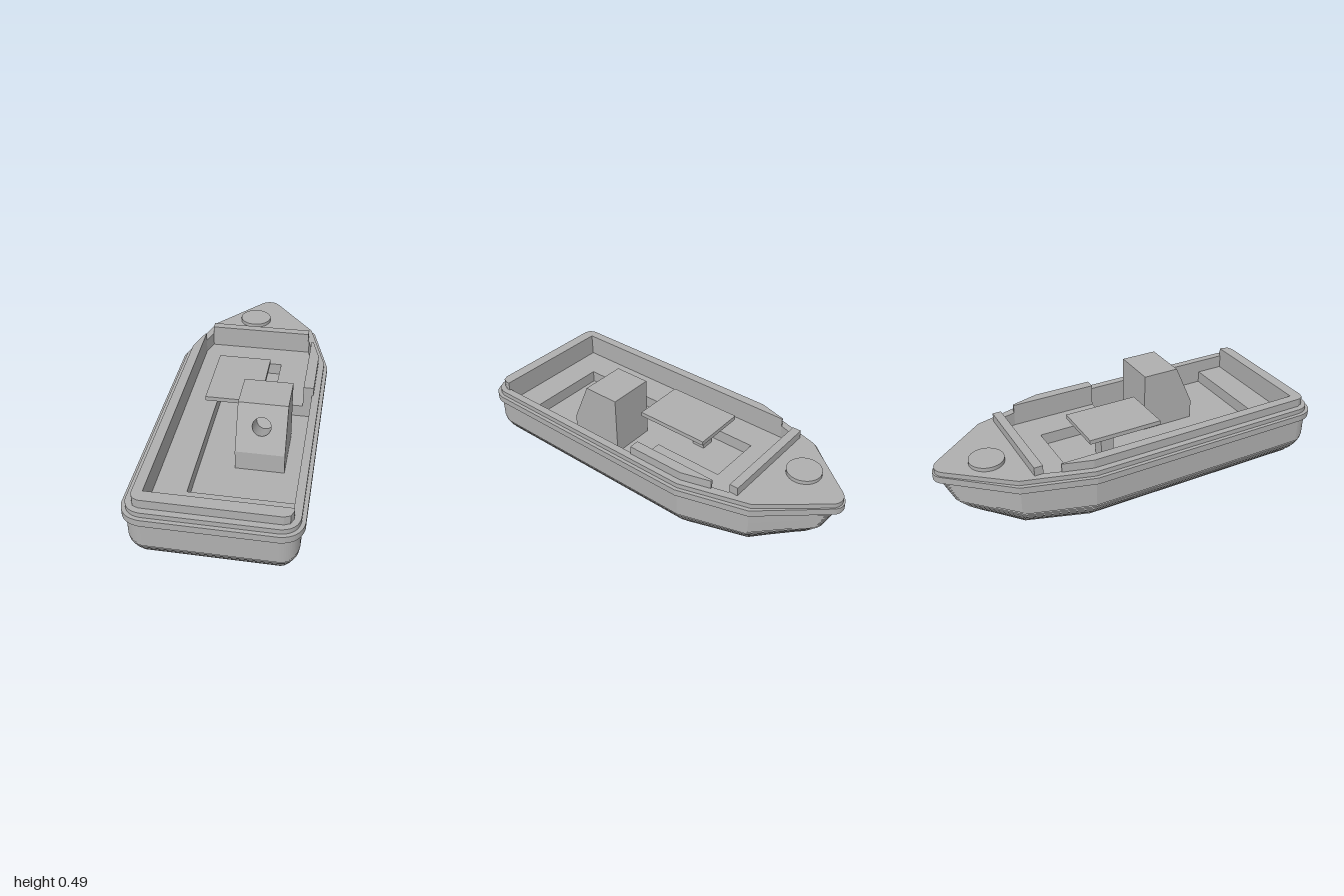
import * as THREE from 'three';

const hullGrey = new THREE.MeshStandardMaterial({ color: 0xb0b0b0 });
hullGrey.name = 'hull grey';

// Plan shapes are drawn in (x, -z), so the bow points to +y of the shape.
const plan = (pts, Type = THREE.Shape) => new Type(pts.map(([x, z]) => new THREE.Vector2(x, -z)));

function slab(name, shape, y0, y1) {
  const geo = new THREE.ExtrudeGeometry(shape, { depth: y1 - y0, bevelEnabled: false, curveSegments: 14 });
  geo.rotateX(-Math.PI / 2).translate(0, y0, 0);
  const mesh = new THREE.Mesh(geo, hullGrey);
  mesh.name = name;
  return mesh;
}

function block(name, x0, x1, y0, y1, z0, z1) {
  const mesh = new THREE.Mesh(new THREE.BoxGeometry(x1 - x0, y1 - y0, z1 - z0), hullGrey);
  mesh.position.set((x0 + x1) / 2, (y0 + y1) / 2, (z0 + z1) / 2);
  mesh.name = name;
  return mesh;
}

// Boat outline: rounded stern corners, two knuckles per side, rounded nose
function outline(w, nose, kneeZ) {
  const stern = 0.98 - (0.384 - w), r = Math.max(0.001, w - 0.301), k = w - 0.1;
  const s = new THREE.Shape();
  s.moveTo(-w + r, -stern);
  s.lineTo(w - r, -stern);
  s.quadraticCurveTo(w - r * 0.1, -stern + r * 0.1, w, -stern + r);
  s.lineTo(w, 0.315);
  s.lineTo(k, -kneeZ);
  s.lineTo(0.055, -nose - 0.04);
  s.bezierCurveTo(0.025, -nose, -0.025, -nose, -0.055, -nose - 0.04);
  s.lineTo(-k, -kneeZ);
  s.lineTo(-w, 0.315);
  s.lineTo(-w, -stern + r);
  s.quadraticCurveTo(-w + r * 0.1, -stern + r * 0.1, -w + r, -stern);
  return s;
}

// Linear interpolation through a short list of [y, value]
function along(list, y) {
  for (let i = 1; i < list.length; i++) {
    const [a, va] = list[i - 1], [b, vb] = list[i];
    if (y <= b) return va + (vb - va) * (y - a) / (b - a);
  }
  return list[list.length - 1][1];
}

const noseAt = [[0, -0.79], [0.05, -0.86], [0.1, -0.91], [0.2, -0.955], [0.245, -0.98], [0.305, -0.99]];
const widths = [0.302, 0.313, 0.326, 0.339, 0.348, 0.358, 0.365, 0.373, 0.379, 0.382, 0.384];
const STEP = 0.245 / 19, FLOOR = 13 * STEP, LEDGE = 18 * STEP;

const cockpit = () => plan([[-0.305, 0.89], [0.345, 0.89], [0.345, 0], [0.3, 0], [0.3, -0.46],
  [0.28, -0.54], [-0.28, -0.54], [-0.305, -0.46]], THREE.Path);
const well = () => plan([[-0.15, 0.74], [0.345, 0.74], [0.345, 0], [0.14, 0], [0.14, -0.38], [-0.15, -0.38]], THREE.Path);
const drain = (z) => new THREE.Path().absarc(-0.05, -z, 0.043, 0, Math.PI * 2, false);

function makeHull() {
  const hull = new THREE.Group();
  hull.name = 'hull';
  // Stepped layers widen towards the rail; sockets, well and cockpit are cut in
  for (let i = 0; i < 19; i++) {
    const y = i * STEP;
    const shape = outline(widths[Math.min(i, 10)], along(noseAt, y), along([[0, -0.62], [0.13, -0.66]], y));
    if (i < 6) shape.holes.push(drain(0.6), drain(-0.2));
    else if (i >= 18) shape.holes.push(cockpit());
    else if (i >= 13) shape.holes.push(well());
    hull.add(slab('hullLayer' + i, shape, y, y + STEP));
  }
  const rail = outline(0.403, -1, -0.67);
  rail.holes.push(cockpit());
  hull.add(slab('rubRail', rail, 0.245, 0.28));
  const deck = outline(0.384, -0.99, -0.665);
  deck.holes.push(cockpit());
  hull.add(slab('deck', deck, 0.28, 0.305));
  return hull;
}

// Steering console with a sloped face and a round socket square to it
function makeConsole() {
  const g = new THREE.Group();
  g.name = 'console';
  const x0 = 0.022, x1 = 0.262, mid = (x0 + x1) / 2;
  const add = (name, geo) => {
    const m = new THREE.Mesh(geo, hullGrey);
    m.name = name;
    g.add(m);
    return m;
  };
  const profile = [[0.175, FLOOR], [0.175, 0.49], [0.37, 0.49], [0.47, 0.27], [0.47, FLOOR]];
  // Side walls
  for (const [x, turn] of [[x1, 1], [x0, -1]]) {
    const side = new THREE.Shape(profile.map(([z, y]) => new THREE.Vector2(-turn * z, y)));
    add('consoleSide', new THREE.ShapeGeometry(side).rotateY(turn * Math.PI / 2).translate(x, 0, 0));
  }
  // Back, top, sloped and lower front faces
  for (let i = 0; i < 4; i++) {
    const [za, ya] = profile[i], [zb, yb] = profile[i + 1];
    const len = Math.hypot(zb - za, yb - ya), hw = (x1 - x0) / 2;
    const face = new THREE.Shape([[-hw, -len / 2], [hw, -len / 2], [hw, len / 2], [-hw, len / 2]]
      .map(([x, y]) => new THREE.Vector2(x, y)));
    const panel = new THREE.Group();
    panel.position.set(mid, (ya + yb) / 2, (za + zb) / 2);
    panel.rotation.x = Math.atan2(za - zb, ya - yb);
    g.add(panel);
    if (i === 2) {
      const cy = (0.39 - (ya + yb) / 2) / Math.cos(panel.rotation.x), depth = 0.16;
      face.holes.push(new THREE.Path().absarc(0, cy, 0.045, 0, Math.PI * 2, true));
      const wall = new THREE.CylinderGeometry(0.045, 0.045, depth, 40, 1, true);
      wall.scale(-1, 1, 1); // mirrored so the wall faces inward
      const normal = wall.attributes.normal;
      for (let n = 0; n < normal.count; n++) normal.setXYZ(n, -normal.getX(n), normal.getY(n), -normal.getZ(n));
      panel.add(add('socketWall', wall.rotateX(Math.PI / 2).translate(0, cy, -depth / 2)));
      panel.add(add('socketEnd', new THREE.CircleGeometry(0.045, 40).translate(0, cy, -depth)));
    }
    panel.name = ['consoleBack', 'consoleTop', 'consoleSlope', 'consoleFront'][i];
    panel.add(add(panel.name + 'Face', new THREE.ShapeGeometry(face, 40)));
  }
  return g;
}

export function createModel() {
  const boat = new THREE.Group();
  boat.name = 'boat';
  boat.add(makeHull());

  // Raised gunwale: port side with stern, and a short piece forward on the other side
  const aft = plan([[-0.305, 0.89], [-0.305, -0.46], [-0.311, -0.46], [-0.353, -0.31], [-0.353, 0.91],
    [-0.341, 0.938], [-0.313, 0.95], [0.313, 0.95], [0.341, 0.938], [0.353, 0.91], [0.353, 0.89]]);
  boat.add(slab('aftGunwale', aft, 0.305, 0.35));
  const forward = plan([[0.3, 0], [0.353, 0], [0.353, -0.31], [0.311, -0.46], [0.3, -0.46]]);
  boat.add(slab('forwardGunwale', forward, 0.305, 0.35));

  // Foredeck bulkhead bar and round hatch
  boat.add(block('bulkhead', -0.28, 0.275, 0.305, 0.35, -0.585, -0.54));
  const hatch = new THREE.Mesh(new THREE.CylinderGeometry(0.087, 0.087, 0.02, 48), hullGrey);
  hatch.position.set(-0.06, 0.315, -0.74);
  hatch.name = 'hatch';
  boat.add(hatch);

  // Table on its post
  boat.add(block('tableTop', -0.185, 0.095, 0.32, 0.343, -0.25, 0.15));
  boat.add(block('tablePost', -0.115, -0.045, FLOOR, 0.32, -0.155, -0.085));

  boat.add(makeConsole());
  return boat;
}
